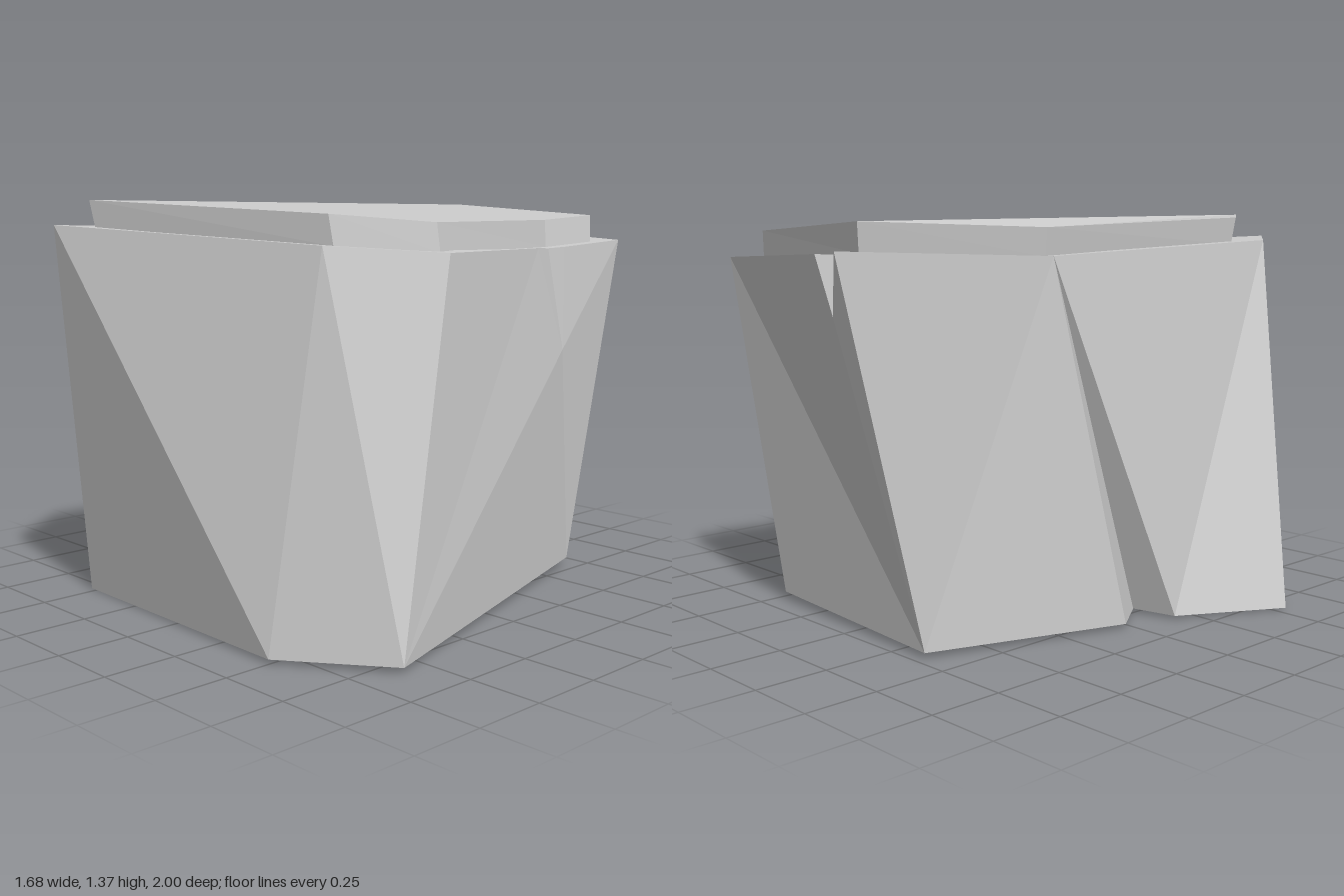
import * as THREE from 'three';

const material = new THREE.MeshStandardMaterial({ color: 0xcccccc, flatShading: true });

// Triangulate a horizontal outline (counter-clockwise from above), indices start at offset
function lid(points, offset, up) {
  const outline = points.map(([x, , z]) => new THREE.Vector2(x, -z));
  return THREE.ShapeUtils.triangulateShape(outline, []).map(([a, b, c]) =>
    up ? [a + offset, b + offset, c + offset] : [a + offset, c + offset, b + offset]);
}

function facetedMesh(name, points, faces) {
  const indexed = new THREE.BufferGeometry();
  indexed.setAttribute('position', new THREE.Float32BufferAttribute(points.flat(), 3));
  indexed.setIndex(faces.flat());
  const geometry = indexed.toNonIndexed();
  geometry.computeVertexNormals();
  const mesh = new THREE.Mesh(geometry, material);
  mesh.name = name;
  return mesh;
}

// Main block: upper rim with two chipped notches, wider base with a crack on the -x side
function rockBody() {
  const rim = [
    [-0.36, 1.29, 1], [0.58, 1.24, 0.69], [0.69, 1.21, 0.26], [0.54, 1.205, -0.36],
    [0.49, 1.2, -0.48], [0.53, 1.205, -0.52], [0.57, 1.225, -0.79], [-0.22, 1.255, -0.99],
    [-0.2, 1.25, -0.88], [-0.33, 1.265, -1], [-0.48, 1.24, -0.26], [-0.6, 1.28, 0.68],
  ];
  const base = [
    [-0.53, 0, 0.79], [0.5, 0.015, 0.84], [0.84, 0.02, 0.61], [0.46, 0.03, -0.67],
    [-0.38, 0.02, -0.72], [-0.6, 0.015, -0.03], [-0.5, 0.015, 0.12], [-0.645, 0.01, 0.17],
    [-0.84, 0.005, 0.54],
  ];
  // lowest points of the side notch (21) and back notch (22)
  const notches = [[0.54, 0.84, -0.51], [-0.25, 1.07, -0.95]];
  const walls = [
    // front
    [12, 13, 0], [13, 1, 0], [13, 14, 1],
    // +x side with its notch
    [14, 2, 1], [14, 3, 2], [14, 21, 3], [14, 15, 21], [21, 4, 3], [21, 5, 4], [21, 6, 5], [15, 6, 21],
    // back with its notch
    [15, 16, 6], [16, 22, 6], [22, 7, 6], [22, 8, 7], [22, 9, 8], [16, 9, 22],
    // -x side with the crack
    [16, 17, 10], [16, 10, 9], [17, 18, 10], [18, 19, 10], [19, 11, 10], [19, 20, 11],
    [20, 0, 11], [20, 12, 0],
  ];
  return facetedMesh('rockBody', [...rim, ...base, ...notches],
    [...walls, ...lid(rim, 0, true), ...lid(base, rim.length, false)]);
}

// Thin slab on top, following the rim with an inset
function topSlab() {
  const top = [
    [-0.32, 1.37, 0.89], [0.52, 1.33, 0.61], [0.615, 1.302, 0.24], [0.48, 1.3, -0.47],
    [0.51, 1.315, -0.695], [-0.295, 1.35, -0.89], [-0.43, 1.33, -0.24], [-0.53, 1.36, 0.61],
  ];
  const n = top.length;
  const bottom = top.map(([x, y, z]) => [x + 0.012, y - 0.095, z * 0.985]);
  const walls = top.flatMap((_, i) => {
    const j = (i + 1) % n;
    return [[n + i, n + j, i], [n + j, j, i]];
  });
  return facetedMesh('topSlab', [...top, ...bottom],
    [...walls, ...lid(top, 0, true), ...lid(bottom, n, false)]);
}

export function createModel() {
  const group = new THREE.Group();
  group.name = 'rock';
  group.add(rockBody(), topSlab());
  return group;
}
